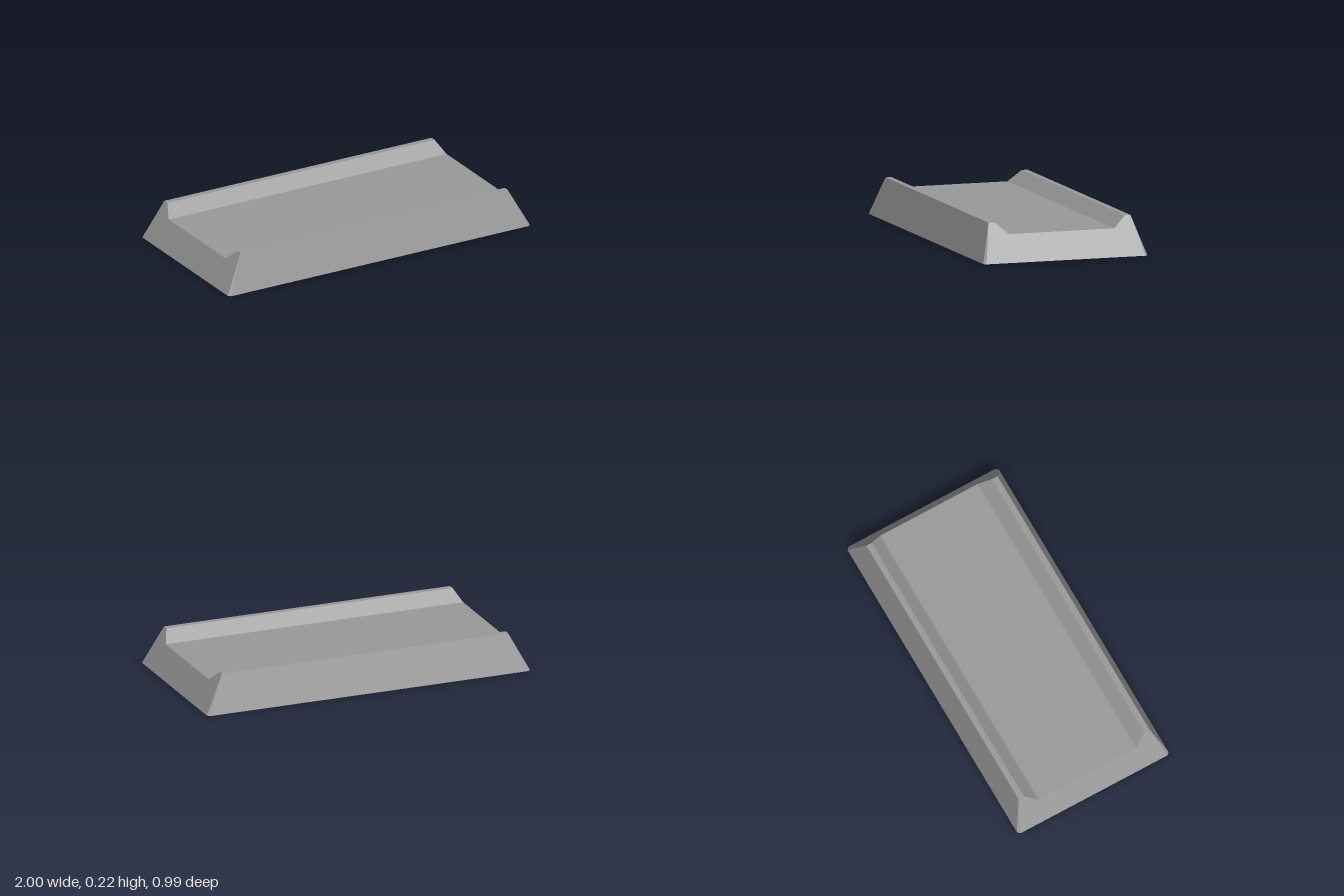
import * as THREE from 'three';

// Half profile as [z, y, half length along x]; mirrored for the back
const HALF = [
  [0.497, 0, 0.985],     // clipped bottom corner
  [0.482, 0, 1],         // bottom edge
  [0.32, 0.155, 0.92],   // channel floor
  [0.395, 0.222, 0.885], // rail inner top
  [0.43, 0.222, 0.885],  // rail outer top
];

function channelGeometry() {
  const [corner, base, floor, inner, outer] = HALF;
  const back = ([z, y, x]) => [-z, y, x];
  const ring = [corner, base, back(base), back(corner), back(outer),
    back(inner), back(floor), floor, inner, outer];
  const n = ring.length;
  const positions = [];
  for (const side of [1, -1]) {
    for (const [z, y, x] of ring) positions.push(side * x, y, z);
  }

  // Long faces between the two end outlines
  const index = [];
  for (let i = 0; i < n; i++) {
    const j = (i + 1) % n;
    index.push(i, n + i, n + j, i, n + j, j);
  }
  // Sloping ends with narrow clipped corners
  const cap = [[0, 1, 9], [1, 8, 9], [1, 7, 8], [1, 2, 7],
    [2, 6, 7], [2, 5, 6], [2, 4, 5], [2, 3, 4]];
  for (const [a, b, c] of cap) index.push(a, b, c, n + a, n + c, n + b);

  const indexed = new THREE.BufferGeometry();
  indexed.setAttribute('position', new THREE.Float32BufferAttribute(positions, 3));
  indexed.setIndex(index);
  const geometry = indexed.toNonIndexed();
  geometry.computeVertexNormals();
  return geometry;
}

export function createModel() {
  const grey = new THREE.MeshStandardMaterial({ color: 0x999999 });
  grey.name = 'grey';

  // Tapered slab with a raised rail along each long side
  const slab = new THREE.Mesh(channelGeometry(), grey);
  slab.name = 'railedSlab';

  const group = new THREE.Group();
  group.name = 'channelBlock';
  group.add(slab);
  return group;
}
